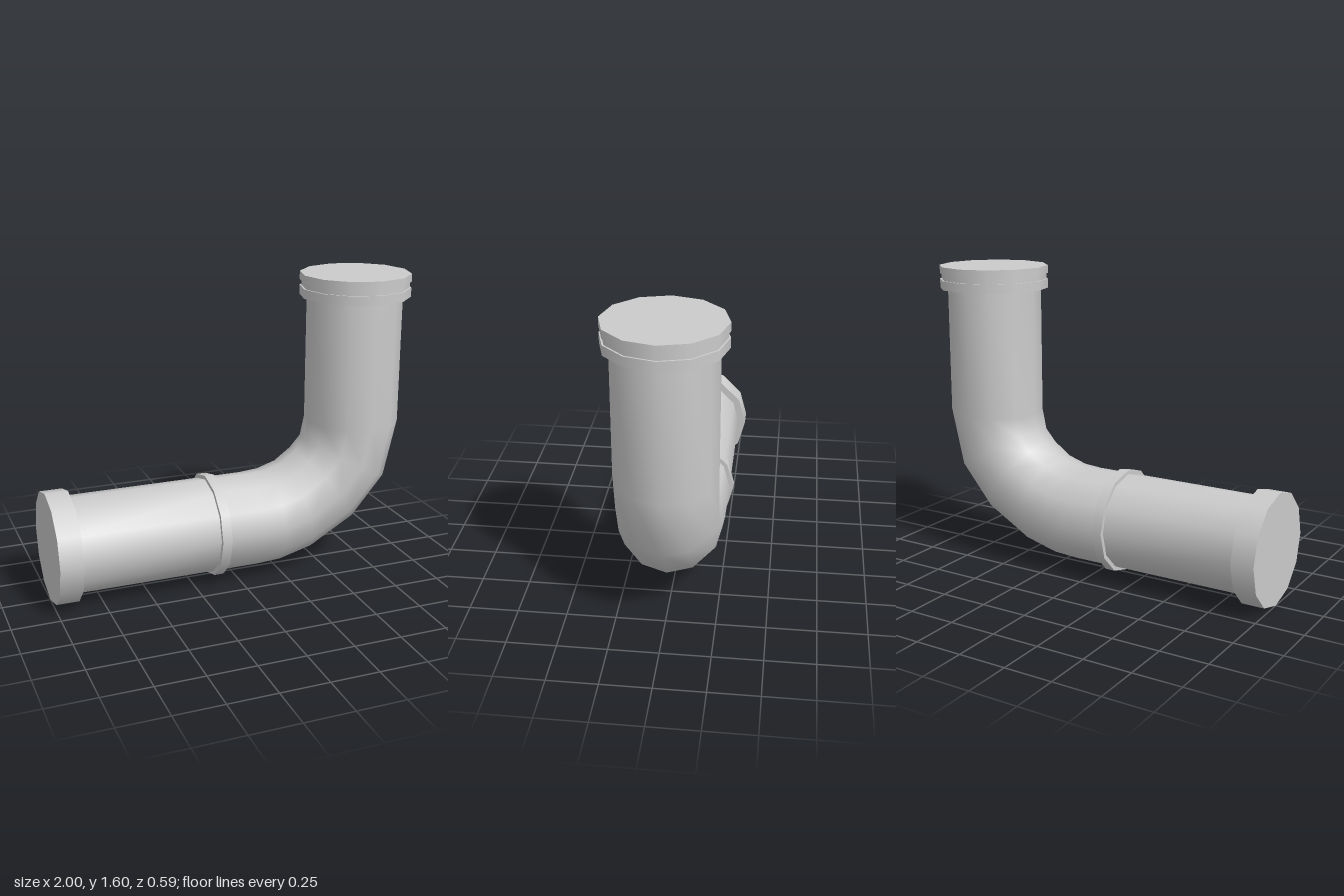
import * as THREE from 'three';

const SIDES = 12;
const AXIS_Y = 0.295; // height of the horizontal run
const AXIS_X = 0.705; // x of the vertical run

export function createModel() {
  const group = new THREE.Group();
  const material = new THREE.MeshStandardMaterial({ color: 0xcccccc });

  const add = (name, geometry) => {
    const mesh = new THREE.Mesh(geometry, material);
    mesh.name = name;
    group.add(mesh);
    return mesh;
  };

  // Pipe: each section spans from its outer bend point to its inner bend point
  const sections = [
    [-0.95, 0.042, -0.95, 0.55],
    [-0.12, 0.042, -0.12, 0.55],
    [0.1, 0.042, 0.1, 0.55],
    [0.24, 0.05, 0.2, 0.558],
    [0.43, 0.1, 0.3, 0.59],
    [0.69, 0.25, 0.38, 0.65],
    [0.88, 0.475, 0.43, 0.705],
    [0.957, 0.8, 0.45, 0.8],
    [0.957, 1.55, 0.45, 1.55],
  ];
  const positions = [];
  const indices = [];
  sections.forEach(([ox, oy, ix, iy], s) => {
    for (let j = 0; j < SIDES; j++) {
      const a = (j / SIDES) * Math.PI * 2;
      const c = Math.cos(a) / 2;
      positions.push(
        (ox + ix) / 2 + (ix - ox) * c,
        (oy + iy) / 2 + (iy - oy) * c,
        0.254 * Math.sin(a)
      );
      if (s < sections.length - 1) {
        const p = s * SIDES + j;
        const q = s * SIDES + ((j + 1) % SIDES);
        indices.push(p, q, p + SIDES, q, q + SIDES, p + SIDES);
      }
    }
  });
  const pipe = new THREE.BufferGeometry();
  pipe.setAttribute('position', new THREE.Float32BufferAttribute(positions, 3));
  pipe.setIndex(indices);
  pipe.computeVertexNormals();
  add('elbowPipe', pipe);

  // Collars on the horizontal run
  const collarX = (name, radius, x0, x1) => {
    const geometry = new THREE.CylinderGeometry(radius, radius, x1 - x0, SIDES);
    geometry.rotateZ(Math.PI / 2);
    add(name, geometry).position.set((x0 + x1) / 2, AXIS_Y, 0);
  };
  collarX('endFlange', 0.294, -1, -0.88);
  collarX('jointRing', 0.276, -0.145, -0.093);

  // Grooved flange on top of the vertical run
  const collarY = (name, radius, y0, y1) => {
    const geometry = new THREE.CylinderGeometry(radius, radius, y1 - y0, SIDES);
    add(name, geometry).position.set(AXIS_X, (y0 + y1) / 2, 0);
  };
  collarY('topFlangeLower', 0.294, 1.478, 1.527);
  collarY('topFlangeGroove', 0.285, 1.527, 1.557);
  collarY('topFlangeUpper', 0.294, 1.557, 1.6);

  return group;
}
